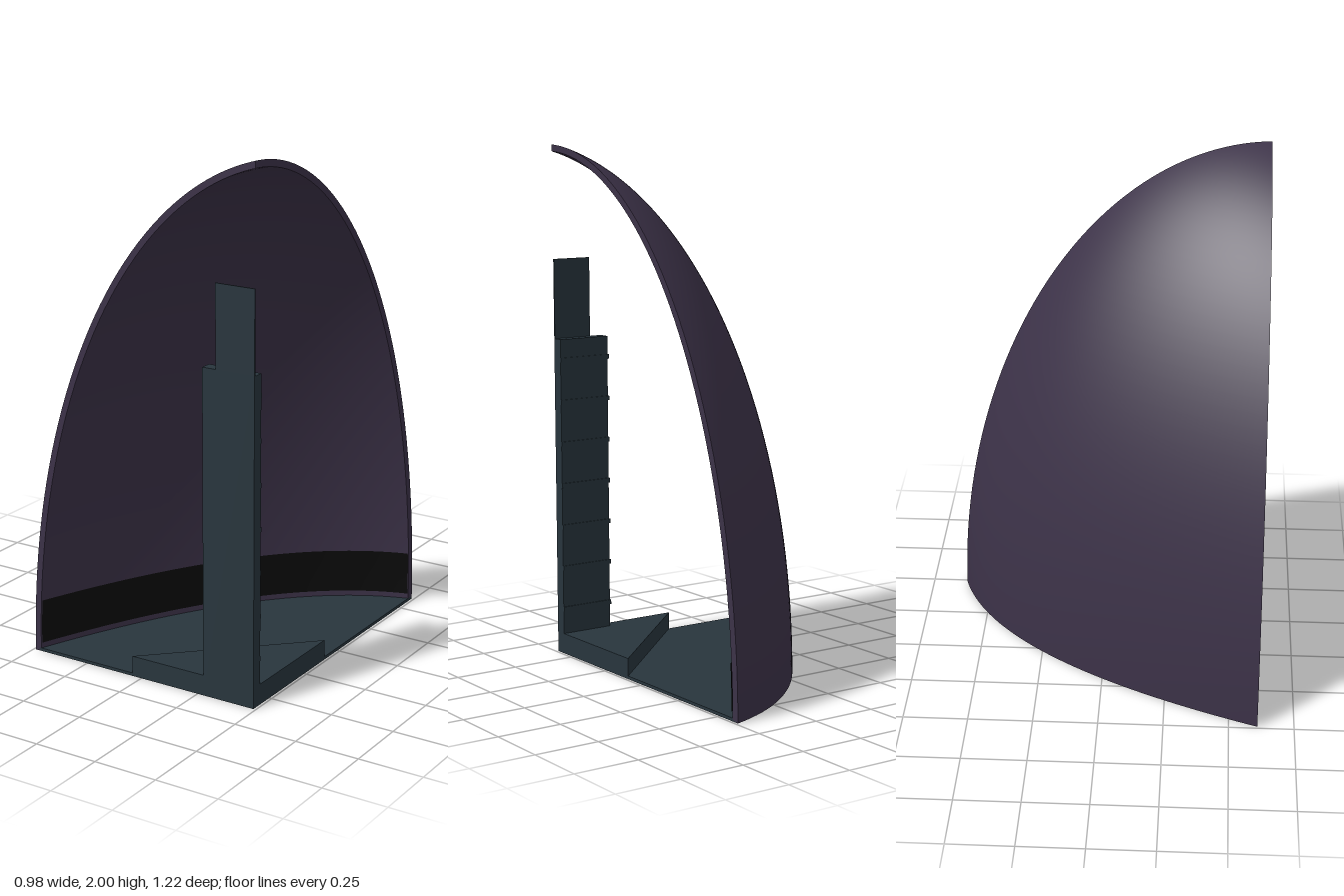
import * as THREE from 'three';

// The dome is a curved wedge; all sections are measured from its vertical corner.
const CX = 0.49, CZ = 0.61;

function material(name, color, side = THREE.FrontSide) {
  const m = new THREE.MeshStandardMaterial({ color, side });
  m.name = name;
  return m;
}

// Distance from the corner to the dome at height y, along angle t (0 = -x, PI/2 = -z)
function reach(y, t) {
  const c = Math.cos(t), s = Math.sin(t);
  let lo = 0, hi = 1.6;
  for (let i = 0; i < 40; i++) {
    const r = (lo + hi) / 2, p = r * c, q = r * s;
    const f = 1.14 * p + 0.13 * q + 3.0 * p * p + 2.58 * q * q + (1.7 + 0.9 * (p - q)) * p * q;
    if (f < 4 - y * y) lo = r; else hi = r;
  }
  return lo;
}

// Point on the dome, shrunk toward the corner by an inset
function domePoint(y, t, inset = 0) {
  const r = reach(Math.min(2, y / (1 - inset * 0.5)), t) * (1 - inset);
  return [CX - r * Math.cos(t), y, CZ - r * Math.sin(t)];
}

// Grid surface from a function of u, v in 0..1
function surface(fn, nu, nv) {
  const pos = [], idx = [];
  for (let j = 0; j <= nv; j++)
    for (let i = 0; i <= nu; i++) pos.push(...fn(i / nu, j / nv));
  for (let j = 0; j < nv; j++)
    for (let i = 0; i < nu; i++) {
      const a = j * (nu + 1) + i, b = a + nu + 1;
      idx.push(a, a + 1, b, a + 1, b + 1, b);
    }
  const g = new THREE.BufferGeometry();
  g.setAttribute('position', new THREE.Float32BufferAttribute(pos, 3));
  g.setIndex(idx);
  g.computeVertexNormals();
  return g;
}

// Horizontal slab from plan points [x, z]
function slab(points, height) {
  const shape = new THREE.Shape(points.map(([x, z]) => new THREE.Vector2(x, -z)));
  const g = new THREE.ExtrudeGeometry(shape, { depth: height, bevelEnabled: false });
  return g.rotateX(-Math.PI / 2);
}

export function createModel() {
  const model = new THREE.Group();
  const purple = material('dark purple shell', 0x3c3248, THREE.DoubleSide);
  const teal = material('dark teal frame', 0x28353d);
  const black = material('black band', 0x0a0a0a, THREE.DoubleSide);
  const Q = Math.PI / 2, INSET = 0.026;

  const add = (name, geometry, mat) => {
    const mesh = new THREE.Mesh(geometry, mat);
    mesh.name = name;
    model.add(mesh);
    return mesh;
  };
  const box = (name, x0, x1, y0, y1, z0, z1) =>
    add(name, new THREE.BoxGeometry(x1 - x0, y1 - y0, z1 - z0), teal)
      .position.set((x0 + x1) / 2, (y0 + y1) / 2, (z0 + z1) / 2);

  // Curved shell: outside, inside and the two cut rims
  const innerTop = 2 * (1 - INSET * 0.5);
  add('shellOutside', surface((u, v) => domePoint(2 * Math.sin(v * Q), u * Q), 48, 48), purple);
  add('shellInside', surface((u, v) =>
    domePoint(innerTop * Math.sin(v * Q), (1 - u) * Q, INSET), 48, 48), purple);
  for (const [name, t] of [['frontRim', 0], ['sideRim', Q]]) {
    add(name, surface((u, v) => {
      const s = Math.sin(v * Q), w = t ? 1 - u : u;
      return w < 0.5 ? domePoint(innerTop * s, t, INSET) : domePoint(2 * s, t);
    }, 1, 48).rotateY(0), purple);
  }

  // Dark band low on the inside of the shell
  add('innerBand', surface((u, v) =>
    domePoint(0.035 + 0.175 * v, (1 - u) * Q, INSET + 0.005), 48, 4), black);

  // Floor following the curved base
  const plan = [[CX, CZ]];
  for (let i = 0; i <= 48; i++) {
    const [x, , z] = domePoint(0, i / 48 * Q, 0.002);
    plan.push([x, z]);
  }
  add('floor', slab(plan, 0.012), teal);

  // Triangular foot, corner post and tall thin panel
  add('foot', slab([[CX, CZ], [-0.04, CZ], [CX, 0.10]], 0.08), teal);
  box('post', 0.275, CX, 0, 1.25, 0.565, CZ);
  box('tallPanel', 0.33, CX, 1.25, 1.56, CZ - 0.005, CZ);

  // Thin slats across the back of the post
  for (let i = 0; i < 7; i++) {
    const y = 0.17 + i * 0.165;
    box('slat', 0.271, CX, y, y + 0.018, 0.561, 0.6);
  }
  return model;
}
